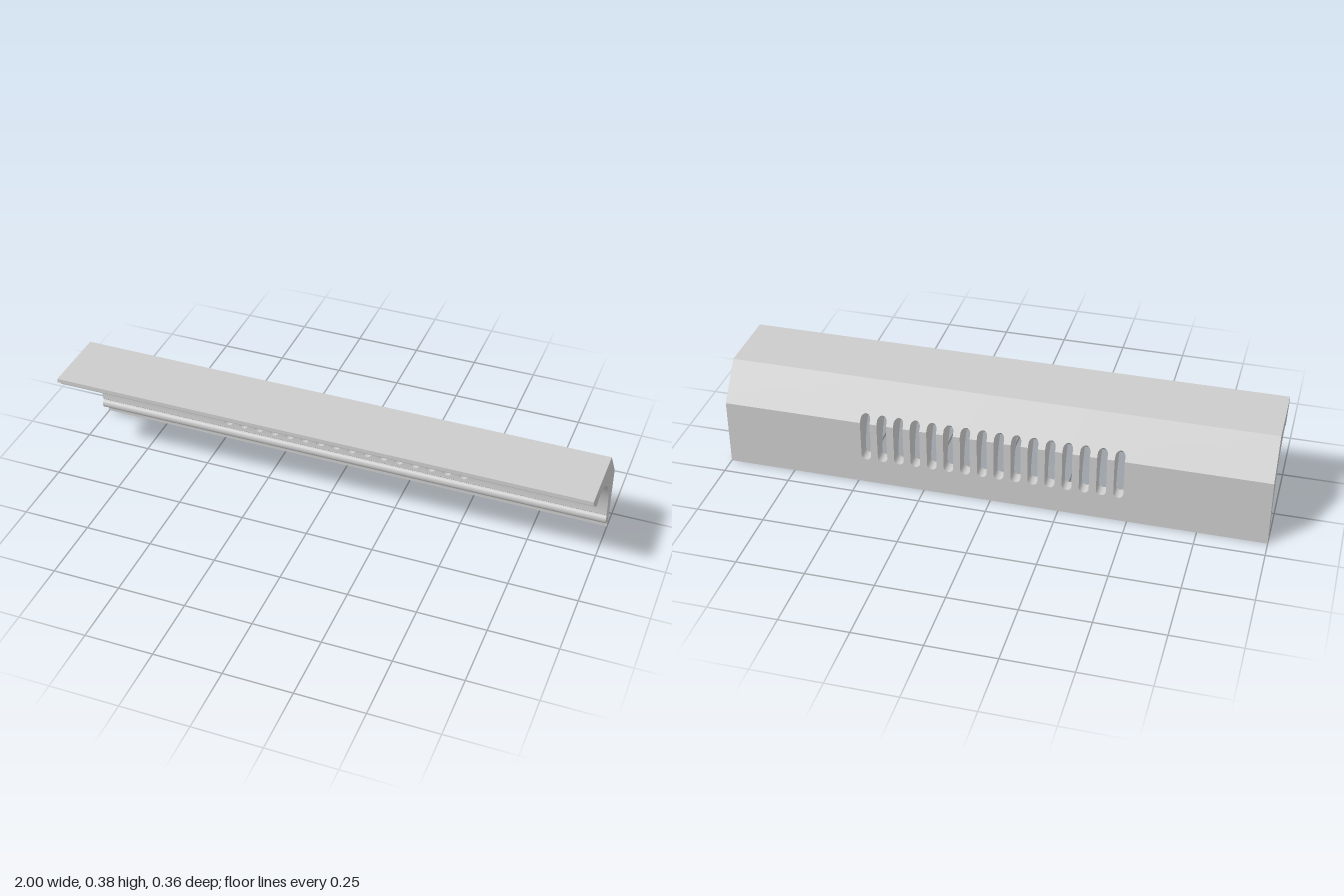
import * as THREE from 'three';
import { toCreasedNormals } from 'three/addons/utils/BufferGeometryUtils.js';

const BACK = -0.181, TOP = 0.383;            // back plane and top plane
const CHAMFER = { y: 0.253, z: -0.079 };     // chamfer start height and its end on top
const COVE = { z: 0.095, y: 0.106, r: 0.225 };
const SLOT = { count: 16, pitch: 0.0621, r: 0.018, y0: 0.098, y1: 0.283 };

const v2 = ([z, y]) => new THREE.Vector2(z, y);
const smooth = (pts, n) => new THREE.SplineCurve(pts.map(v2)).getPoints(n);
const coveZ = y => COVE.z - Math.sqrt(COVE.r ** 2 - (y - COVE.y) ** 2);
const backZ = y => y <= CHAMFER.y ? BACK
  : BACK + (CHAMFER.z - BACK) * (y - CHAMFER.y) / (TOP - CHAMFER.y);

// points (z, y) along the cove between two heights
function coveArc(ya, yb, n) {
  const a = Math.asin((ya - COVE.y) / COVE.r), b = Math.asin((yb - COVE.y) / COVE.r);
  return Array.from({ length: n + 1 }, (_, i) => {
    const t = a + (b - a) * i / n;
    return new THREE.Vector2(COVE.z - COVE.r * Math.cos(t), COVE.y + COVE.r * Math.sin(t));
  });
}

// half width of a slot at height y
function slotHalfWidth(y) {
  const d = Math.max(SLOT.y0 + SLOT.r - y, y - SLOT.y1 + SLOT.r, 0);
  return d >= SLOT.r - 1e-7 ? 0 : Math.sqrt(SLOT.r ** 2 - d * d);
}

// heights at which the slotted band is sampled, finer at the round slot ends
function slotLevels() {
  const levels = [CHAMFER.y], n = 7;
  for (let i = 0; i <= n; i++) {
    const d = SLOT.r * (1 - Math.cos(i / n * Math.PI / 2));
    levels.push(SLOT.y0 + d, SLOT.y1 - d);
  }
  for (let i = 1; i < 10; i++) {
    levels.push(THREE.MathUtils.lerp(SLOT.y0 + SLOT.r, SLOT.y1 - SLOT.r, i / 10));
  }
  return levels.sort((a, b) => a - b);
}

export function createModel() {
  const positions = [];
  const tri = (...p) => p.forEach(q => positions.push(...q));
  const quad = (a, b, c, d) => { tri(a, b, c); tri(a, c, d); };

  const centres = Array.from({ length: SLOT.count },
    (_, i) => (i - (SLOT.count - 1) / 2) * SLOT.pitch);
  const stations = [-1, ...centres, 1];

  // solid run of the profile along x, with its end faces
  function run(profile) {
    for (let i = 0; i < profile.length - 1; i++) {
      const p = profile[i], q = profile[i + 1];
      for (let k = 0; k < stations.length - 1; k++) {
        const l = stations[k], r = stations[k + 1];
        quad([l, p.y, p.x], [r, p.y, p.x], [r, q.y, q.x], [l, q.y, q.x]);
      }
    }
    for (const f of THREE.ShapeUtils.triangulateShape(profile, [])) {
      const [a, b, c] = f.map(i => profile[i]);
      tri([-1, a.y, a.x], [-1, b.y, b.x], [-1, c.y, c.x]);
      tri([1, a.y, a.x], [1, c.y, c.x], [1, b.y, b.x]);
    }
  }

  // lower run: fillet, small cove, bead and the foot of the large cove
  run([
    ...[[BACK, SLOT.y0], [BACK, 0], [-0.172, 0], [-0.172, 0.008]].map(v2),
    ...smooth([[-0.167, 0.008], [-0.166, 0.019], [-0.16, 0.028], [-0.151, 0.032]], 9),
    ...smooth([[-0.151, 0.038], [-0.142, 0.04], [-0.132, 0.046], [-0.126, 0.056],
      [-0.126, 0.067], [-0.131, 0.075], [-0.139, 0.077]], 18),
    ...coveArc(0.086, SLOT.y0, 2),
  ]);

  // upper run: head of the cove, ogee, crown fillet, top and chamfer
  run([
    ...coveArc(SLOT.y1, 0.3294, 10),
    ...[[0.07, 0.325], [0.084, 0.325]].map(v2),
    ...smooth([[0.085, 0.323], [0.093, 0.318], [0.106, 0.315], [0.119, 0.317],
      [0.129, 0.325], [0.138, 0.336], [0.147, 0.343], [0.16, 0.348]], 22),
    ...smooth([[0.161, 0.353], [0.165, 0.361], [0.171, 0.366], [0.181, 0.368]], 9),
    ...[[0.181, TOP], [CHAMFER.z, TOP], [backZ(SLOT.y1), SLOT.y1]].map(v2),
  ]);

  // slotted band: one upright web between each pair of slots
  const levels = slotLevels();
  for (let k = 0; k < stations.length - 1; k++) {
    const section = y => {
      const w = slotHalfWidth(y), f = coveZ(y), b = backZ(y);
      const l = stations[k] + (k > 0 ? w : 0);
      const r = stations[k + 1] - (k < SLOT.count ? w : 0);
      return [[l, y, f], [r, y, f], [r, y, b], [l, y, b]];
    };
    for (let i = 0; i < levels.length - 1; i++) {
      const lo = section(levels[i]), hi = section(levels[i + 1]);
      for (let s = 0; s < 4; s++) {
        const t = (s + 1) % 4;
        quad(lo[s], lo[t], hi[t], hi[s]);
      }
    }
  }

  // enlarged while creasing so that close points stay distinct
  let geometry = new THREE.BufferGeometry();
  geometry.setAttribute('position', new THREE.Float32BufferAttribute(positions, 3));
  geometry.scale(100, 100, 100);
  geometry = toCreasedNormals(geometry, 0.55);
  geometry.scale(0.01, 0.01, 0.01);

  const moulding = new THREE.Mesh(geometry, new THREE.MeshStandardMaterial({ color: 0xcccccc }));
  moulding.name = 'slottedCornice';
  const group = new THREE.Group();
  group.name = 'cornice';
  group.add(moulding);
  return group;
}
